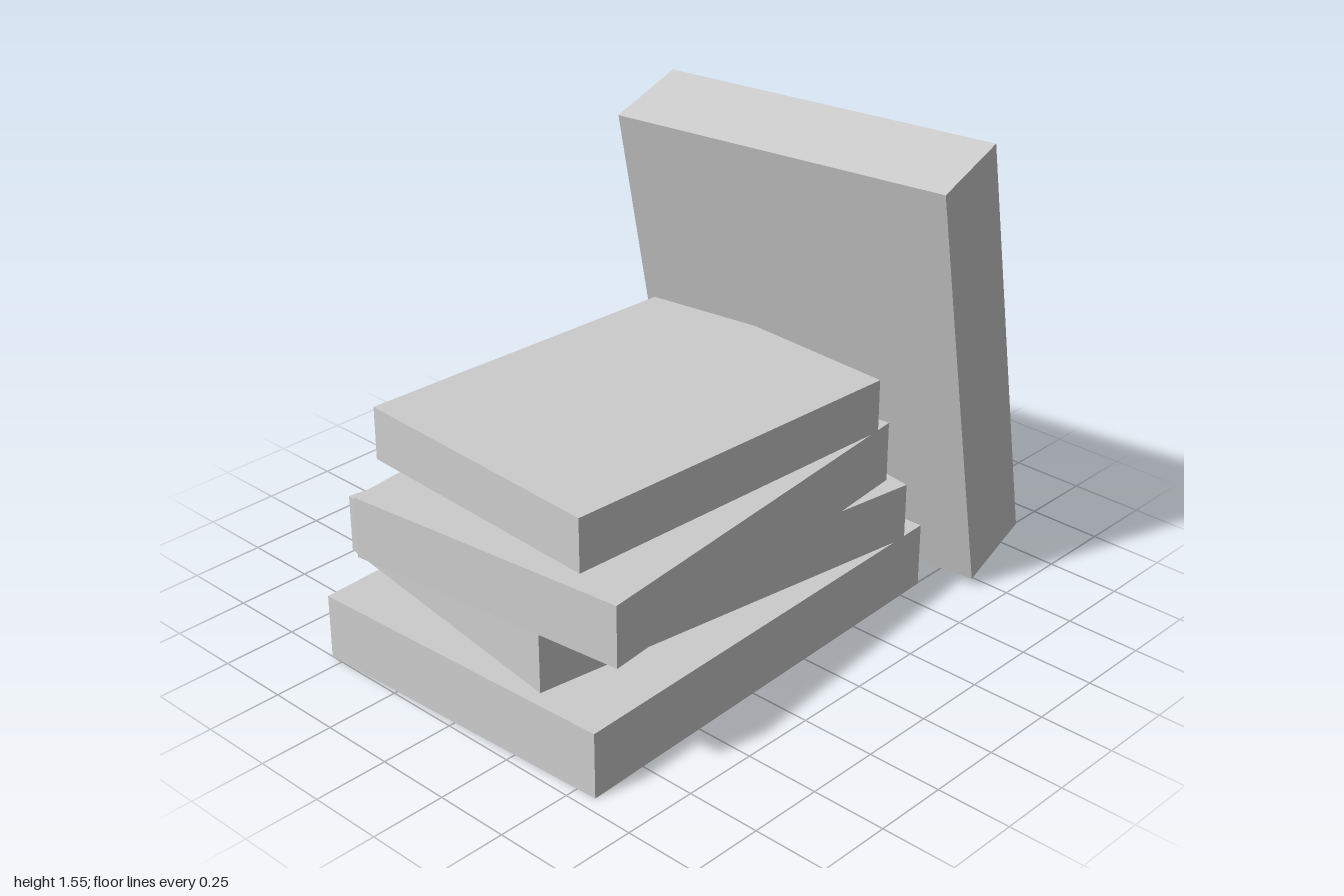
import * as THREE from 'three';

export function createModel() {
  const group = new THREE.Group();
  group.name = 'bookStack';
  const grey = new THREE.MeshStandardMaterial({ color: 0xcccccc });
  grey.name = 'plain grey';

  // One book: a plain block, turned about y and then tilted about its own z
  function addBook(name, size, position, turn, tilt = 0) {
    const book = new THREE.Mesh(new THREE.BoxGeometry(...size), grey);
    book.name = name;
    book.position.set(...position);
    book.rotation.set(0, turn, tilt, 'YXZ');
    group.add(book);
  }

  // Stack of lying books, bottom to top
  addBook('bottomBook', [1.551, 0.22, 1.116], [-0.202, 0.11, -0.02], 0.042);
  addBook('secondBook', [1.425, 0.195, 1.03], [-0.14, 0.32, -0.092], -0.144);
  addBook('thirdBook', [1.363, 0.204, 0.995], [-0.27, 0.528, 0.04], 0.106);
  addBook('topBook', [1.238, 0.178, 0.931], [-0.205, 0.72, -0.02], -0.05);

  // Book leaning against the stack
  addBook('leaningBook', [0.306, 1.487, 1.173], [0.6, 0.791, 0.068], 0.15, 0.218);

  return group;
}
